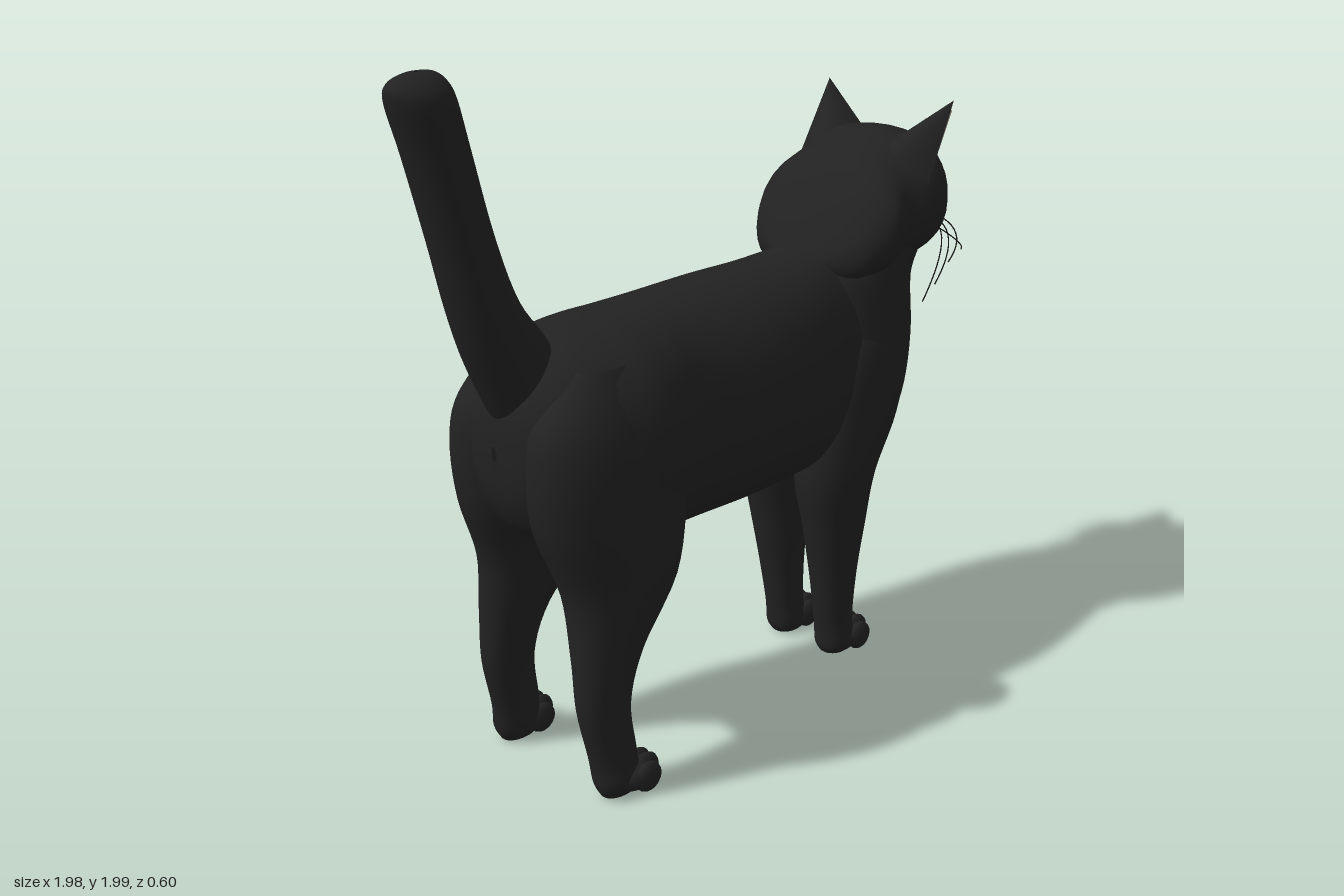
import * as THREE from 'three';
import { ParametricGeometry } from 'three/addons/geometries/ParametricGeometry.js';

const V = (x, y, z) => new THREE.Vector3(x, y, z);
const mat = (name, color) => new THREE.MeshStandardMaterial({ name, color, side: THREE.DoubleSide });

// Smooth loft. Each row is [t, aMin, aMax, bMin, bMax]; t runs along y (a = x, b = z)
// or along x (a = y, b = z). Rows are joined by a Catmull-Rom spline.
function loft(axis, rows, power = 0.9, sides = 36, steps = 5) {
  const pos = [], index = [];
  const row = i => rows[Math.max(0, Math.min(rows.length - 1, i))];
  const count = (rows.length - 1) * steps + 1;
  const bend = v => Math.sign(v) * Math.abs(v) ** power;
  for (let i = 0; i < count; i++) {
    const k = Math.floor(i / steps), f = (i % steps) / steps;
    const [t, a0, a1, b0, b1] = row(k).map((p1, c) => {
      const p0 = row(k - 1)[c], p2 = row(k + 1)[c], p3 = row(k + 2)[c];
      return p1 + 0.5 * f * (p2 - p0 + f * (2 * p0 - 5 * p1 + 4 * p2 - p3 + f * (3 * (p1 - p2) + p3 - p0)));
    });
    for (let j = 0; j < sides; j++) {
      const q = (j / sides) * Math.PI * 2;
      const a = (a0 + a1) / 2 + (a1 - a0) / 2 * bend(Math.cos(q));
      const b = (b0 + b1) / 2 + (b1 - b0) / 2 * bend(Math.sin(q));
      pos.push(...(axis === 'y' ? [a, t, b] : [t, a, b]));
      if (i === count - 1) continue;
      const p = i * sides + j, r = i * sides + (j + 1) % sides, u = p + sides, w = r + sides;
      index.push(...(axis === 'y' ? [p, u, r, r, u, w] : [p, r, u, r, w, u]));
    }
  }
  const g = new THREE.BufferGeometry();
  g.setAttribute('position', new THREE.Float32BufferAttribute(pos, 3));
  g.setIndex(index);
  g.computeVertexNormals();
  return g;
}

// Rows that are symmetric about z = 0: [t, aMin, aMax, halfWidth]
const even = rows => rows.map(([t, a, b, w]) => [t, a, b, -w, w]);

export function createModel() {
  const cat = new THREE.Group();
  cat.name = 'cat';
  const fur = mat('black fur', 0x222222);
  const tan = mat('brown skin', 0x64584b);
  const dark = mat('dark whisker', 0x121212);
  const add = (name, geometry, material = fur, parent = cat) => {
    const m = new THREE.Mesh(geometry, material);
    m.name = name;
    parent.add(m);
    return m;
  };

  // Trunk
  add('torso', loft('x', even([
    [-0.73, 0.98, 1.02, 0.01], [-0.715, 0.86, 1.13, 0.11], [-0.66, 0.76, 1.21, 0.19],
    [-0.56, 0.7, 1.275, 0.255], [-0.42, 0.66, 1.292, 0.298], [-0.3, 0.645, 1.295, 0.28],
    [-0.17, 0.64, 1.3, 0.25], [0.06, 0.64, 1.3, 0.268], [0.25, 0.64, 1.3, 0.25],
    [0.42, 0.64, 1.31, 0.215], [0.55, 0.68, 1.3, 0.2], [0.64, 0.8, 1.25, 0.15], [0.7, 1, 1.05, 0.01],
  ])));
  add('chestAndNeck', loft('y', even([
    [0.6, 0.44, 0.55, 0.04], [0.64, 0.38, 0.61, 0.18], [0.72, 0.36, 0.665, 0.215],
    [0.85, 0.36, 0.75, 0.235], [1.02, 0.37, 0.787, 0.235], [1.2, 0.38, 0.79, 0.22],
    [1.3, 0.42, 0.84, 0.215], [1.4, 0.47, 0.83, 0.22], [1.5, 0.53, 0.78, 0.18], [1.55, 0.6, 0.7, 0.02],
  ])));
  add('tail', loft('y', even([
    [1.02, -0.68, -0.5, 0.05], [1.1, -0.725, -0.48, 0.09], [1.26, -0.8, -0.55, 0.09],
    [1.4, -0.845, -0.65, 0.083], [1.58, -0.89, -0.72, 0.08], [1.8, -0.95, -0.78, 0.08],
    [1.93, -0.99, -0.815, 0.08], [1.975, -0.988, -0.835, 0.058], [1.997, -0.95, -0.865, 0.025], [2, -0.915, -0.905, 0.004],
  ]), 1));

  // Head and muzzle
  const head = add('head', loft('x', even([
    [0.41, 1.24, 1.31, 0.1], [0.45, 1.2, 1.39, 0.19], [0.5, 1.19, 1.475, 0.237], [0.56, 1.19, 1.545, 0.258],
    [0.64, 1.2, 1.59, 0.236], [0.72, 1.215, 1.612, 0.254], [0.8, 1.23, 1.605, 0.235],
    [0.86, 1.245, 1.58, 0.185], [0.905, 1.26, 1.535, 0.125], [0.932, 1.29, 1.48, 0.075], [0.94, 1.37, 1.4, 0.01],
  ])));
  add('muzzle', loft('x', even([
    [0.84, 1.25, 1.42, 0.15], [0.9, 1.247, 1.425, 0.133], [0.945, 1.255, 1.41, 0.098],
    [0.975, 1.285, 1.395, 0.058], [0.987, 1.315, 1.38, 0.028], [0.99, 1.342, 1.352, 0.004],
  ])));
  const nose = add('nose', new THREE.SphereGeometry(1, 16, 10), tan);
  nose.scale.set(0.008, 0.008, 0.024);
  nose.position.set(0.981, 1.374, 0);
  const mouth = [-1, 1].map(s => new THREE.QuadraticBezierCurve3(V(0.986, 1.315, 0), V(0.985, 1.28, s * 0.03), V(0.945, 1.292, s * 0.088)));
  mouth.forEach(c => add('mouthLine', new THREE.TubeGeometry(c, 12, 0.004, 6), dark));

  // Thin oval laid on the face by casting each point back onto the head
  const ray = new THREE.Raycaster();
  const eyeShape = s => {
    const g = new THREE.RingGeometry(0.001, 1, 28, 5);
    const p = g.attributes.position;
    for (let i = 0; i < p.count; i++) {
      const y = 1.44 + p.getY(i) * 0.036 + p.getX(i) * 0.006;
      const z = s * (0.108 + p.getX(i) * 0.043);
      ray.set(V(2, y, z), V(-1, 0, 0));
      const hit = ray.intersectObject(head)[0];
      p.setXYZ(i, (hit ? hit.point.x : 0.86) + 0.006, y, z);
    }
    g.computeVertexNormals();
    return g;
  };

  // Sheet from a curved ear base (inner corner, bend, outer corner) up to the tip
  const earSheet = (s, bend, u0, u1, v0, v1, shift) => {
    const base = new THREE.QuadraticBezierCurve3(V(0.8, 1.595, s * 0.1), V(bend[0], bend[1], s * bend[2]), V(0.71, 1.52, s * 0.245));
    const tip = V(0.81, 1.71, s * 0.235);
    return new ParametricGeometry((u, v, out) => {
      out.copy(base.getPoint(u0 + (u1 - u0) * u)).lerp(tip, v0 + (v1 - v0) * v);
      out.x += shift;
      out.z += s * shift * 0.4;
    }, 12, 10);
  };

  for (const s of [1, -1]) {
    const side = s > 0 ? 'left' : 'right';
    const legRows = rows => rows.map(([t, a, b, z0, z1]) => s > 0 ? [t, a, b, z0, z1] : [t, a, b, -z1, -z0]);

    add(side + 'FrontLeg', loft('y', legRows([
      [0.012, 0.46, 0.56, 0.06, 0.14], [0.04, 0.447, 0.575, 0.043, 0.16], [0.12, 0.437, 0.557, 0.046, 0.157],
      [0.28, 0.41, 0.56, 0.04, 0.172], [0.45, 0.378, 0.578, 0.025, 0.195], [0.62, 0.345, 0.605, 0.004, 0.218],
      [0.8, 0.36, 0.69, 0.002, 0.235], [1, 0.4, 0.72, 0.02, 0.238], [1.15, 0.48, 0.66, 0.08, 0.2],
    ])));
    add(side + 'HindLeg', loft('y', legRows([
      [0.012, -0.57, -0.46, 0.175, 0.245], [0.05, -0.588, -0.45, 0.155, 0.265], [0.13, -0.6, -0.455, 0.15, 0.255],
      [0.28, -0.632, -0.47, 0.14, 0.255], [0.43, -0.635, -0.42, 0.115, 0.265], [0.61, -0.642, -0.285, 0.06, 0.284],
      [0.8, -0.707, -0.24, 0.01, 0.295], [0.97, -0.725, -0.24, 0.01, 0.293], [1.1, -0.7, -0.28, 0.02, 0.262], [1.22, -0.58, -0.36, 0.08, 0.2],
    ])));

    // Paws: a pad and four toes each
    for (const [name, x, z] of [['FrontPaw', 0.555, 0.105], ['HindPaw', -0.465, 0.22]]) {
      const paw = new THREE.Group();
      paw.name = side + name;
      cat.add(paw);
      const pad = add('pad', new THREE.SphereGeometry(1, 20, 14), fur, paw);
      pad.scale.set(0.075, 0.045, 0.063);
      pad.position.set(x - 0.01, 0.052, s * z);
      for (let i = 0; i < 4; i++) {
        const toe = add('toe', new THREE.SphereGeometry(1, 14, 10), fur, paw);
        const mid = i === 1 || i === 2;
        toe.scale.set(0.046, 0.044, 0.022);
        toe.position.set(x + (mid ? 0.028 : 0.008), mid ? 0.058 : 0.052, s * z + (i - 1.5) * 0.032);
      }
    }

    // Ears: black back, black rim and brown lining
    add(side + 'EarBack', earSheet(s, [0.61, 1.64, 0.13], 0, 1, -0.2, 1, 0));
    add(side + 'EarRim', earSheet(s, [0.74, 1.56, 0.165], 0, 1, -0.1, 1, 0));
    add(side + 'EarLining', earSheet(s, [0.74, 1.56, 0.165], 0.12, 0.95, 0, 0.85, 0.005), tan);

    add(side + 'Eye', eyeShape(s), tan);

    // Whiskers sweep outward and down
    [[0.78, 1.24, 0.265], [0.76, 1.17, 0.235], [0.75, 1.11, 0.2], [0.86, 1.26, 0.25]].forEach(([x, y, z], i) => {
      const c = new THREE.QuadraticBezierCurve3(V(0.93, 1.325 - i * 0.012, s * 0.095), V(0.9, 1.31 - i * 0.015, s * z * 0.95), V(x, y, s * z));
      add(side + 'Whisker', new THREE.TubeGeometry(c, 12, 0.002, 5), dark);
    });
  }
  return cat;
}
